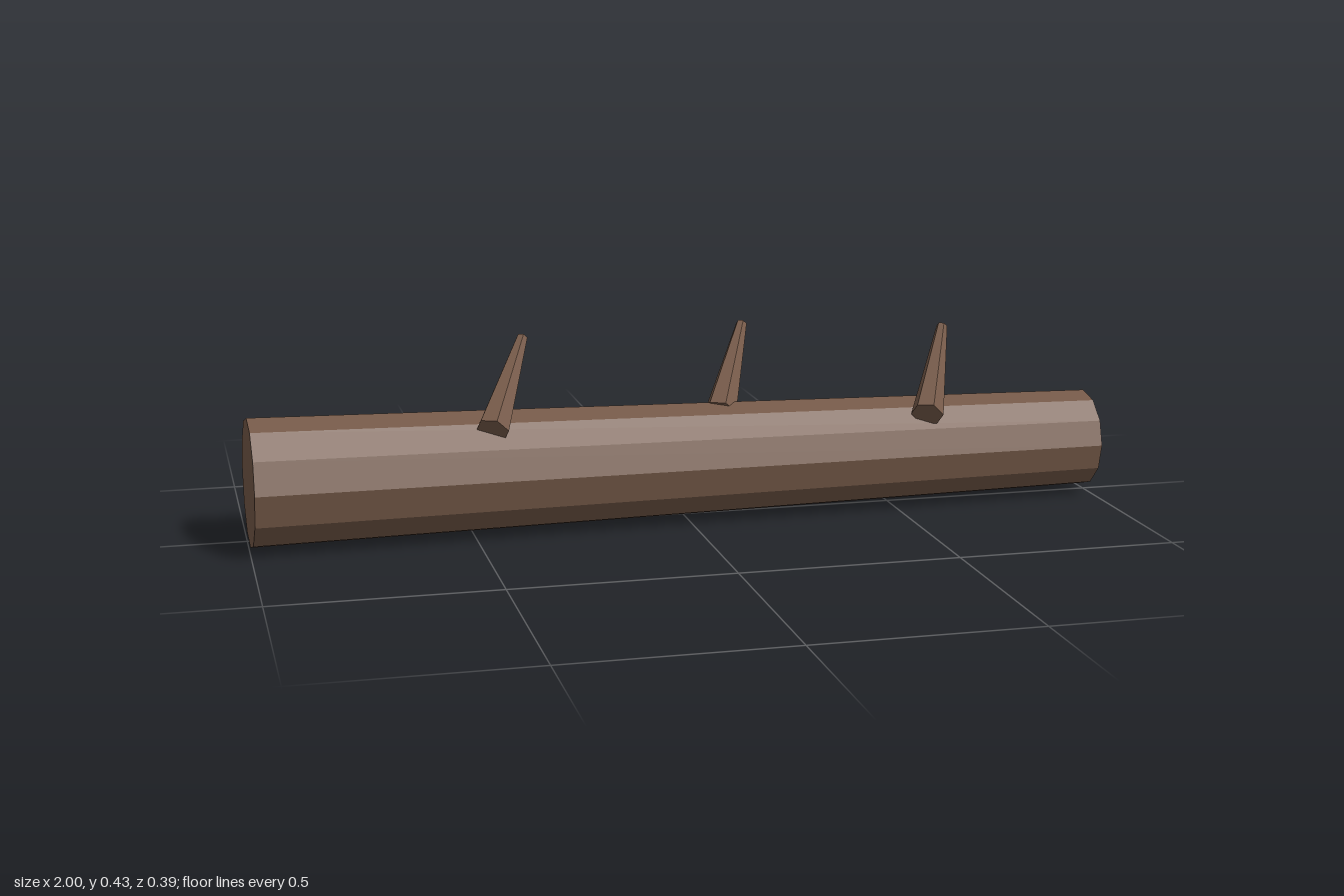
import * as THREE from 'three';

const UP = new THREE.Vector3(0, 1, 0);

// Faceted tapered limb running from one point to another
function limb(name, from, to, r0, r1, sides, material) {
  const a = new THREE.Vector3(...from);
  const b = new THREE.Vector3(...to);
  const axis = b.clone().sub(a);
  const geometry = new THREE.CylinderGeometry(r1, r0, axis.length(), sides).toNonIndexed();
  geometry.computeVertexNormals();
  const mesh = new THREE.Mesh(geometry, material);
  mesh.name = name;
  mesh.position.copy(a).add(b).multiplyScalar(0.5);
  mesh.quaternion.setFromUnitVectors(UP, axis.normalize());
  return mesh;
}

export function createModel() {
  const group = new THREE.Group();
  group.name = 'fallenLog';
  const bark = new THREE.MeshStandardMaterial({ color: 0x765a49 });
  bark.name = 'bark brown';
  bark.flatShading = true;

  // Trunk lying along x, thinner at its left end
  group.add(limb('trunk', [-0.995, 0.147, 0.05], [0.997, 0.127, -0.012], 0.146, 0.115, 12, bark));

  // Three equal branch stubs, all leaning the same way
  const lean = [0.103, 0.168, -0.198];
  const tips = [[-0.36, 0.422, -0.071], [0.19, 0.409, -0.187], [0.662, 0.399, -0.093]];
  tips.forEach((tip, i) => {
    const base = tip.map((v, k) => v - lean[k]);
    group.add(limb(`branchStub${i + 1}`, base, tip, 0.038, 0.013, 6, bark));
  });

  return group;
}
